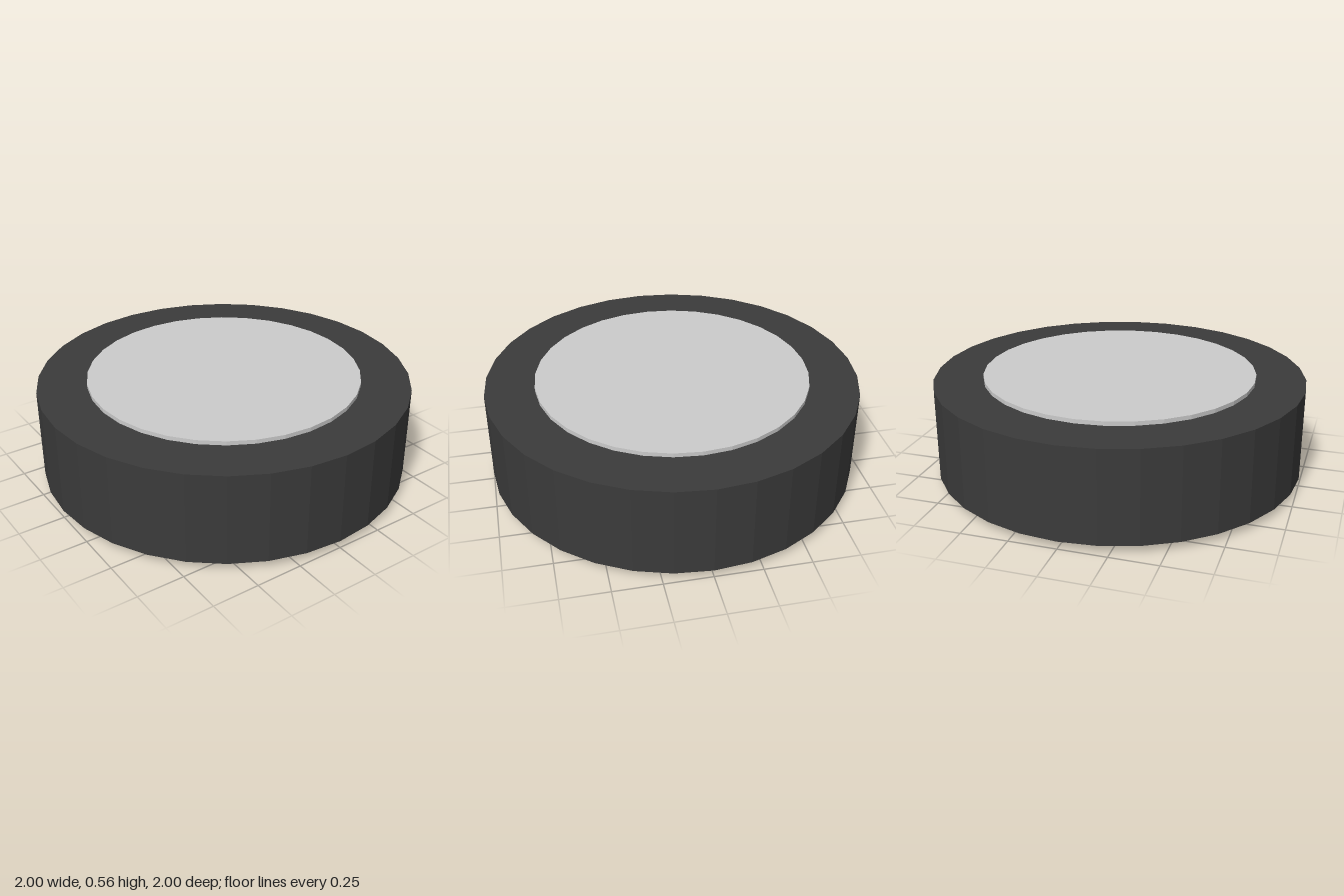
import * as THREE from 'three';

const SIDES = 32;

// Upright faceted disc spanning y0..y1
function disc(name, radius, y0, y1, color) {
  const mesh = new THREE.Mesh(
    new THREE.CylinderGeometry(radius, radius, y1 - y0, SIDES),
    new THREE.MeshStandardMaterial({ color, flatShading: true })
  );
  mesh.name = name;
  mesh.position.y = (y0 + y1) / 2;
  return mesh;
}

export function createModel() {
  const wheel = new THREE.Group();
  wheel.name = 'wheel';
  // Dark tyre, with the hub standing slightly proud on both faces
  wheel.add(disc('tyre', 1, 0.04, 0.533, 0x3b3b3b));
  wheel.add(disc('hub', 0.735, 0, 0.555, 0xcccccc));
  return wheel;
}
